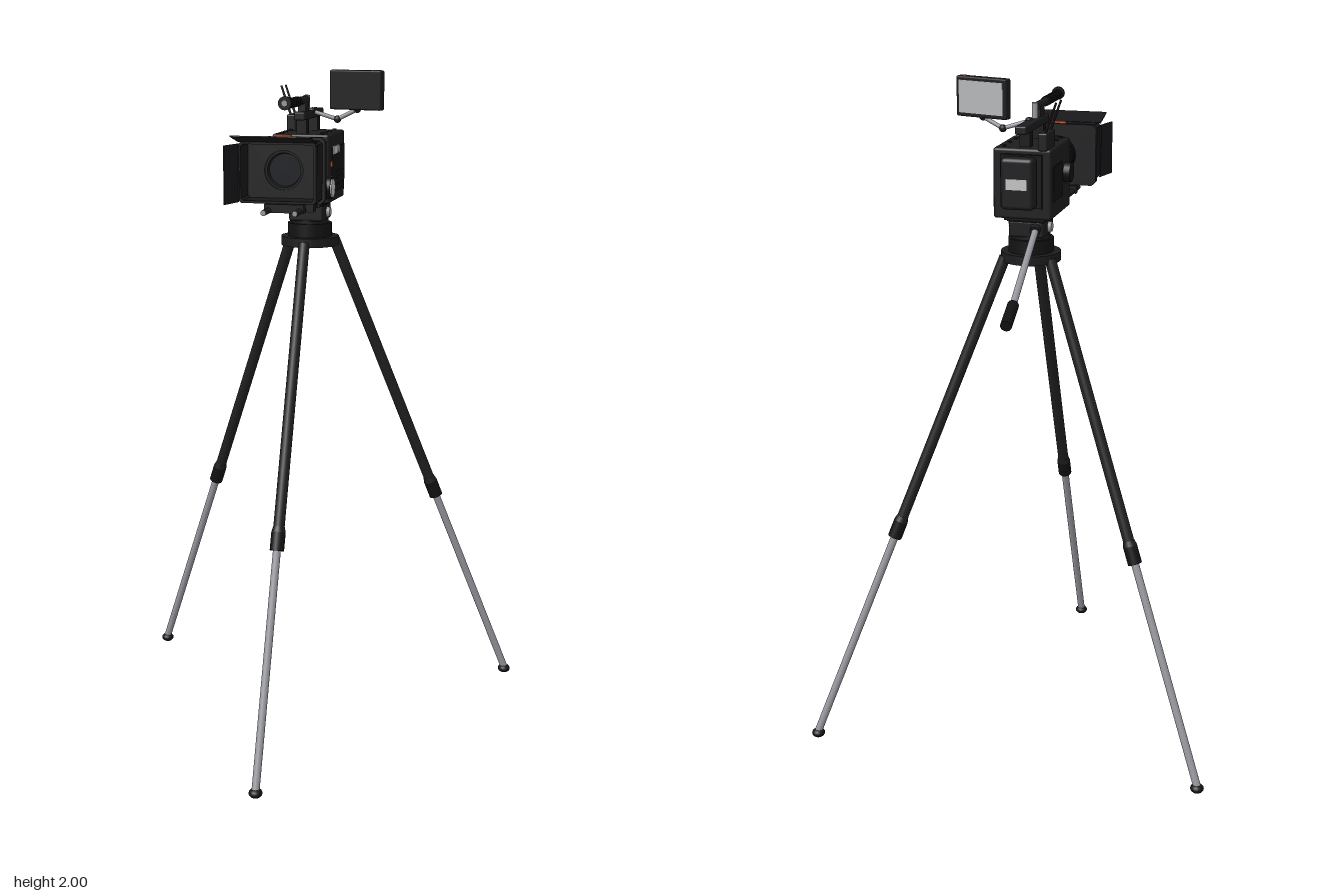
import * as THREE from 'three';
import { RoundedBoxGeometry } from 'three/addons/geometries/RoundedBoxGeometry.js';

const mat = (name, color) => Object.assign(new THREE.MeshStandardMaterial({ color }), { name });

export function createModel() {
  const black = mat('black housing', 0x1c1c1e);
  const dark = mat('dark rubber', 0x121213);
  const carbon = mat('carbon tube', 0x202022);
  const metal = mat('brushed metal', 0x96989e);
  const light = mat('light label', 0xc4c4c4);
  const screen = mat('screen grey', 0xb4b6b8);
  const orange = mat('orange accent', 0xd0562a);
  const glass = mat('lens glass', 0x10141a);
  const flagMat = mat('matte flag', 0x18181a);
  flagMat.side = THREE.DoubleSide;

  const model = new THREE.Group();
  model.name = 'cinemaCamera';
  const V = (x, y, z) => new THREE.Vector3(x, y, z);
  const add = (name, geo, m, x = 0, y = 0, z = 0, parent = model) => {
    const o = new THREE.Mesh(geo, m);
    o.name = name;
    o.position.set(x, y, z);
    parent.add(o);
    return o;
  };
  const box = (name, m, w, h, d, x, y, z, parent) =>
    add(name, new THREE.BoxGeometry(w, h, d), m, x, y, z, parent);
  const soft = (name, m, w, h, d, x, y, z, r = 0.008, parent = model) =>
    add(name, new RoundedBoxGeometry(w, h, d, 2, r), m, x, y, z, parent);
  // Cylinder from point a to point b
  const rod = (name, m, a, b, r0, r1 = r0, parent = model, seg = 20) => {
    const dir = b.clone().sub(a);
    const o = add(name, new THREE.CylinderGeometry(r1, r0, dir.length(), seg), m, 0, 0, 0, parent);
    o.position.copy(a).add(b).multiplyScalar(0.5);
    o.quaternion.setFromUnitVectors(V(0, 1, 0), dir.normalize());
    return o;
  };

  // Tripod legs
  const tripod = new THREE.Group();
  tripod.name = 'tripod';
  tripod.position.z = -0.075;
  model.add(tripod);
  for (let i = 0; i < 3; i++) {
    const leg = new THREE.Group();
    leg.name = 'leg';
    leg.rotation.y = (i * Math.PI * 2) / 3;
    tripod.add(leg);
    const at = (y) => V(0, y, 0.687 - (0.607 * (y - 0.02)) / 1.47);
    rod('upperLeg', carbon, at(0.68), at(1.495), 0.0165, 0.0165, leg);
    rod('legCollar', dark, at(0.65), at(0.70), 0.021, 0.021, leg);
    rod('legCollarLip', black, at(0.70), at(0.715), 0.021, 0.017, leg);
    rod('lowerLeg', metal, at(0.02), at(0.66), 0.0115, 0.0115, leg);
    const foot = add('foot', new THREE.SphereGeometry(0.02, 20, 12), dark, 0, 0.014, 0.687, leg);
    foot.scale.y = 0.7;
  }

  // Tripod head
  rod('headBase', black, V(0, 1.483, 0), V(0, 1.51, 0), 0.087, 0.087, tripod, 40);
  rod('bowl', dark, V(0, 1.51, 0), V(0, 1.55, 0), 0.066, 0.066, tripod, 36);
  rod('fluidDrum', black, V(0, 1.55, 0), V(0, 1.562, 0), 0.056, 0.056, tripod, 36);
  soft('tiltBlock', black, 0.105, 0.05, 0.115, 0, 1.583, 0, 0.008, tripod);
  soft('quickPlate', dark, 0.11, 0.016, 0.13, 0, 1.612, 0, 0.005, tripod);
  for (const s of [-1, 1])
    rod('tiltKnob', metal, V(s * 0.05, 1.582, 0), V(s * 0.063, 1.582, 0), 0.016, 0.014, tripod);

  // Pan handle
  rod('panRod', metal, V(-0.027, 1.592, -0.11), V(-0.076, 1.47, -0.54), 0.0095);
  rod('panGrip', dark, V(-0.075, 1.473, -0.53), V(-0.084, 1.444, -0.63), 0.0155);
  rod('panClamp', black, V(-0.025, 1.595, -0.1), V(-0.031, 1.581, -0.15), 0.015);

  // Camera body
  soft('body', black, 0.17, 0.2, 0.222, 0, 1.72, -0.06, 0.008);
  box('bodyBase', dark, 0.12, 0.014, 0.2, 0, 1.618, -0.05);
  box('sidePanel', dark, 0.006, 0.13, 0.17, 0.085, 1.715, -0.07);
  box('sideLabel', light, 0.004, 0.024, 0.055, 0.089, 1.772, -0.018);
  rod('sideDial', light, V(0.085, 1.772, -0.062), V(0.092, 1.772, -0.062), 0.012);
  for (const y of [1.69, 1.733]) box('recordButton', orange, 0.006, 0.015, 0.014, 0.087, y, 0.025);
  for (let i = 0; i < 3; i++) box('sideVent', black, 0.004, 0.006, 0.09, 0.088, 1.67 + i * 0.018, -0.09);
  rod('sidePort', dark, V(-0.084, 1.73, -0.01), V(-0.104, 1.73, -0.01), 0.03, 0.028);
  box('farPanel', dark, 0.006, 0.1, 0.1, -0.085, 1.72, -0.105);
  for (const x of [-0.06, 0.06])
    for (const z of [-0.14, -0.08, -0.02, 0.03])
      rod('topScrew', dark, V(x, 1.818, z), V(x, 1.824, z), 0.006, 0.006, model, 12);

  // Battery
  box('batteryMount', dark, 0.12, 0.15, 0.014, 0, 1.73, -0.175);
  soft('battery', black, 0.096, 0.145, 0.05, 0, 1.73, -0.205, 0.012);
  box('batteryLabel', light, 0.06, 0.03, 0.004, 0, 1.73, -0.2295);

  // Top plate, posts and handle
  for (const z of [0.02, -0.125]) box('handlePost', dark, 0.03, 0.05, 0.03, 0, 1.843, z);
  soft('topPlate', black, 0.034, 0.024, 0.25, 0, 1.872, -0.06, 0.005);
  box('handleRiser', black, 0.022, 0.04, 0.045, 0, 1.893, 0.01);
  rod('handleBar', black, V(0, 1.915, -0.02), V(0, 1.915, 0.235), 0.0115);
  for (let i = 0; i < 9; i++)
    rod('gripRib', dark, V(0, 1.915, 0.085 + i * 0.017), V(0, 1.915, 0.096 + i * 0.017), 0.0145);
  rod('handleCap', dark, V(0, 1.918, 0.232), V(0, 1.918, 0.242), 0.019);
  rod('handleCapScrew', metal, V(0, 1.918, 0.24), V(0, 1.918, 0.245), 0.008);
  rod('handleScrew', metal, V(0, 1.88, -0.03), V(0, 1.928, -0.03), 0.009);

  // Wireless receiver with two antennas
  soft('receiver', black, 0.028, 0.05, 0.09, -0.062, 1.842, -0.138, 0.005);
  for (const z of [-0.16, -0.105])
    rod('antenna', dark, V(-0.064, 1.86, z), V(-0.097, 1.95, z - 0.008), 0.0035, 0.003, model, 10);

  // Monitor on an articulated arm
  const joints = [V(0.01, 1.88, -0.06), V(0.085, 1.857, -0.066), V(0.145, 1.887, -0.062)];
  for (let i = 0; i < 2; i++) rod('monitorArm', metal, joints[i], joints[i + 1], 0.006);
  for (const p of joints) add('armJoint', new THREE.SphereGeometry(0.011, 16, 12), black, p.x, p.y, p.z);
  const monitor = new THREE.Group();
  monitor.name = 'monitor';
  monitor.position.set(0.143, 1.942, -0.063);
  monitor.rotation.y = -0.29;
  model.add(monitor);
  soft('monitorCase', black, 0.169, 0.114, 0.028, 0, 0, 0, 0.005, monitor);
  box('monitorScreen', screen, 0.148, 0.092, 0.004, 0, 0, -0.0135, monitor);
  box('monitorButton', orange, 0.022, 0.004, 0.014, 0.066, 0.056, 0, monitor);
  for (const x of [-0.052, -0.034]) box('monitorKey', light, 0.01, 0.003, 0.012, x, 0.0562, 0, monitor);

  // Lens barrel, as a stepped profile turned about z
  const profile = [[0.041, 0.04], [0.041, 0.085], [0.05, 0.09], [0.05, 0.11], [0.054, 0.112], [0.054, 0.15],
    [0.048, 0.152], [0.048, 0.175], [0.053, 0.177], [0.053, 0.215], [0.056, 0.218], [0.056, 0.25],
    [0.048, 0.25], [0.045, 0.235]];
  const barrel = [];
  for (let i = 0; i < profile.length - 1; i++) {
    const pair = [profile[i], profile[i + 1]].map(([r, z]) => new THREE.Vector2(r, z));
    barrel.push(pair);
  }
  barrel.forEach((pair, i) => {
    const part = add('lensBarrel', new THREE.LatheGeometry(pair, 40), i % 4 === 0 ? black : dark, 0, 1.735, 0);
    part.rotation.x = Math.PI / 2;
    part.scale.x = 1;
  });
  for (const z of [0.132, 0.197])
    for (let i = 0; i < 36; i++) {
      const a = (i * Math.PI) / 18;
      const tooth = box('gearTooth', dark, 0.004, 0.004, 0.026, Math.cos(a) * 0.054, 1.735 + Math.sin(a) * 0.054, z);
      tooth.rotation.z = a;
    }
  add('frontGlass', new THREE.CircleGeometry(0.046, 36), glass, 0, 1.735, 0.236);
  rod('lensMount', metal, V(0, 1.735, 0.045), V(0, 1.735, 0.056), 0.048, 0.048, model, 36);

  // Support rods and bracket
  for (const s of [-1, 1]) {
    rod('supportRod', black, V(s * 0.045, 1.622, -0.06), V(s * 0.045, 1.622, 0.31), 0.0085);
    rod('rodCap', metal, V(s * 0.045, 1.622, 0.309), V(s * 0.045, 1.622, 0.313), 0.0075);
  }
  box('rodBridge', black, 0.115, 0.026, 0.03, 0, 1.622, 0.04);
  box('matteBoxBridge', black, 0.115, 0.024, 0.02, 0, 1.628, 0.245);

  // Follow focus
  box('focusBracket', black, 0.05, 0.05, 0.03, 0.05, 1.64, 0.195);
  rod('focusShaft', dark, V(0.05, 1.683, 0.195), V(0.112, 1.683, 0.195), 0.013);
  rod('focusGearbox', black, V(0.052, 1.683, 0.195), V(0.08, 1.683, 0.195), 0.022);
  rod('focusKnob', dark, V(0.108, 1.683, 0.195), V(0.125, 1.683, 0.195), 0.031, 0.031, model, 32);
  rod('focusDisc', light, V(0.124, 1.683, 0.195), V(0.129, 1.683, 0.195), 0.026, 0.026, model, 32);

  // Matte box frame and hood, extruded from chamfered outlines with openings
  const outline = (w, h, c, P) => {
    const p = new P();
    p.moveTo(-w + c, -h).lineTo(w - c, -h).lineTo(w, -h + c).lineTo(w, h - c);
    p.lineTo(w - c, h).lineTo(-w + c, h).lineTo(-w, h - c).lineTo(-w, -h + c).lineTo(-w + c, -h);
    return p;
  };
  // Path and Shape drawing calls return the path, so they chain
  const frame = outline(0.118, 0.092, 0.012, THREE.Shape);
  frame.holes.push(new THREE.Path().absarc(0, 0, 0.055, 0, Math.PI * 2, true));
  add('matteBoxFrame', new THREE.ExtrudeGeometry(frame, { depth: 0.02, bevelEnabled: false, curveSegments: 24 }),
    black, 0, 1.735, 0.234);
  const hood = outline(0.11, 0.084, 0.008, THREE.Shape);
  hood.holes.push(outline(0.103, 0.077, 0.006, THREE.Path));
  add('matteBoxHood', new THREE.ExtrudeGeometry(hood, { depth: 0.08, bevelEnabled: false }), flagMat, 0, 1.735, 0.252);
  box('matteBoxTab', orange, 0.044, 0.008, 0.012, 0, 1.829, 0.25);

  // Flared flags hinged on the hood
  const topFlag = box('topFlag', flagMat, 0.222, 0.003, 0.085, 0, 1.829, 0.37);
  topFlag.rotation.x = -0.24;
  for (const s of [-1, 1]) {
    const flag = box('sideFlag', flagMat, 0.003, 0.16, 0.08, s * 0.12, 1.733, 0.367);
    flag.rotation.y = s * 0.25;
    rod('flagHinge', dark, V(s * 0.11, 1.66, 0.33), V(s * 0.11, 1.81, 0.33), 0.004, 0.004, model, 10);
  }
  return model;
}
